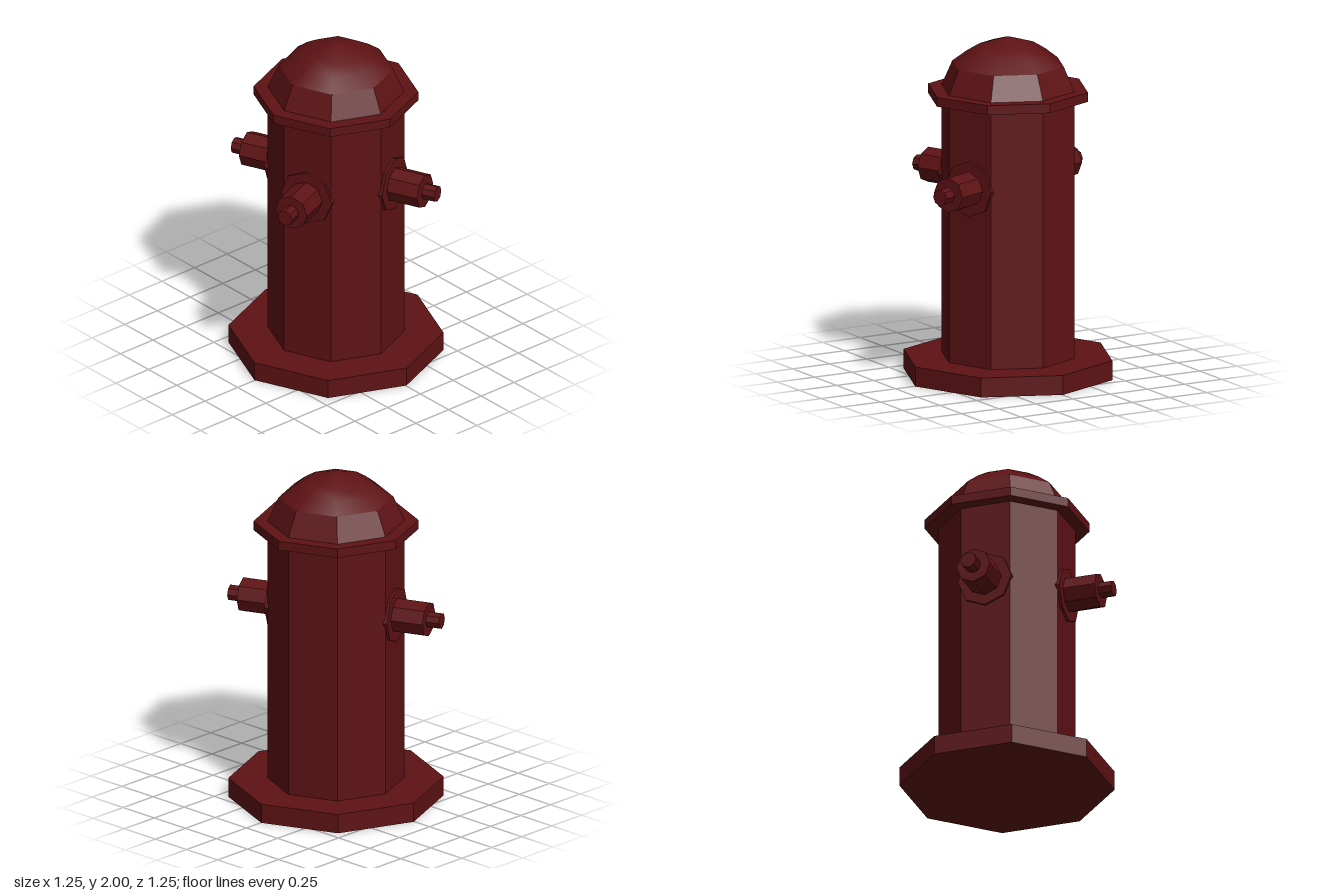
import * as THREE from 'three';

const SIDES = 8;

export function createModel() {
  const hydrant = new THREE.Group();
  hydrant.name = 'fireHydrant';
  const color = 0x5e1214;
  const flat = new THREE.MeshStandardMaterial({ color, flatShading: true });
  const smooth = new THREE.MeshStandardMaterial({ color });

  const add = (parent, name, geometry, material = flat) => {
    const mesh = new THREE.Mesh(geometry, material);
    mesh.name = name;
    parent.add(mesh);
    return mesh;
  };

  // Octagonal prism or frustum between two heights
  const prism = (parent, name, rBottom, rTop, y0, y1) =>
    add(parent, name, new THREE.CylinderGeometry(rTop, rBottom, y1 - y0, SIDES).translate(0, (y0 + y1) / 2, 0));

  // Stacked barrel
  prism(hydrant, 'basePlate', 0.624, 0.624, 0, 0.115);
  prism(hydrant, 'barrel', 0.397, 0.397, 0.115, 1.645);
  prism(hydrant, 'capFlange', 0.478, 0.478, 1.645, 1.7);
  prism(hydrant, 'capSkirt', 0.397, 0.333, 1.7, 1.845);

  // Softly shaded crown of the cap
  const crown = [[0.333, 1.845], [0.25, 1.908], [0.17, 1.957], [0.035, 1.998], [0, 2]]
    .map(([r, y]) => new THREE.Vector2(r, y));
  add(hydrant, 'capCrown', new THREE.LatheGeometry(crown, SIDES), smooth);

  // Three outlets, each square to a face of the barrel
  const outlets = { frontOutlet: 22.5, leftOutlet: 112.5, rightOutlet: 292.5 };
  for (const [name, degrees] of Object.entries(outlets)) {
    const outlet = new THREE.Group();
    outlet.name = name;
    outlet.position.y = 1.168;
    outlet.rotation.set(Math.PI / 2, 0, -THREE.MathUtils.degToRad(degrees));
    prism(outlet, 'collar', 0.165, 0.165, 0.34, 0.382);
    prism(outlet, 'outletCap', 0.104, 0.104, 0.34, 0.577);
    prism(outlet, 'capNut', 0.048, 0.048, 0.56, 0.658);
    hydrant.add(outlet);
  }

  hydrant.position.set(-0.003, 0, -0.005);
  const model = new THREE.Group();
  model.name = 'model';
  model.add(hydrant);
  return model;
}
